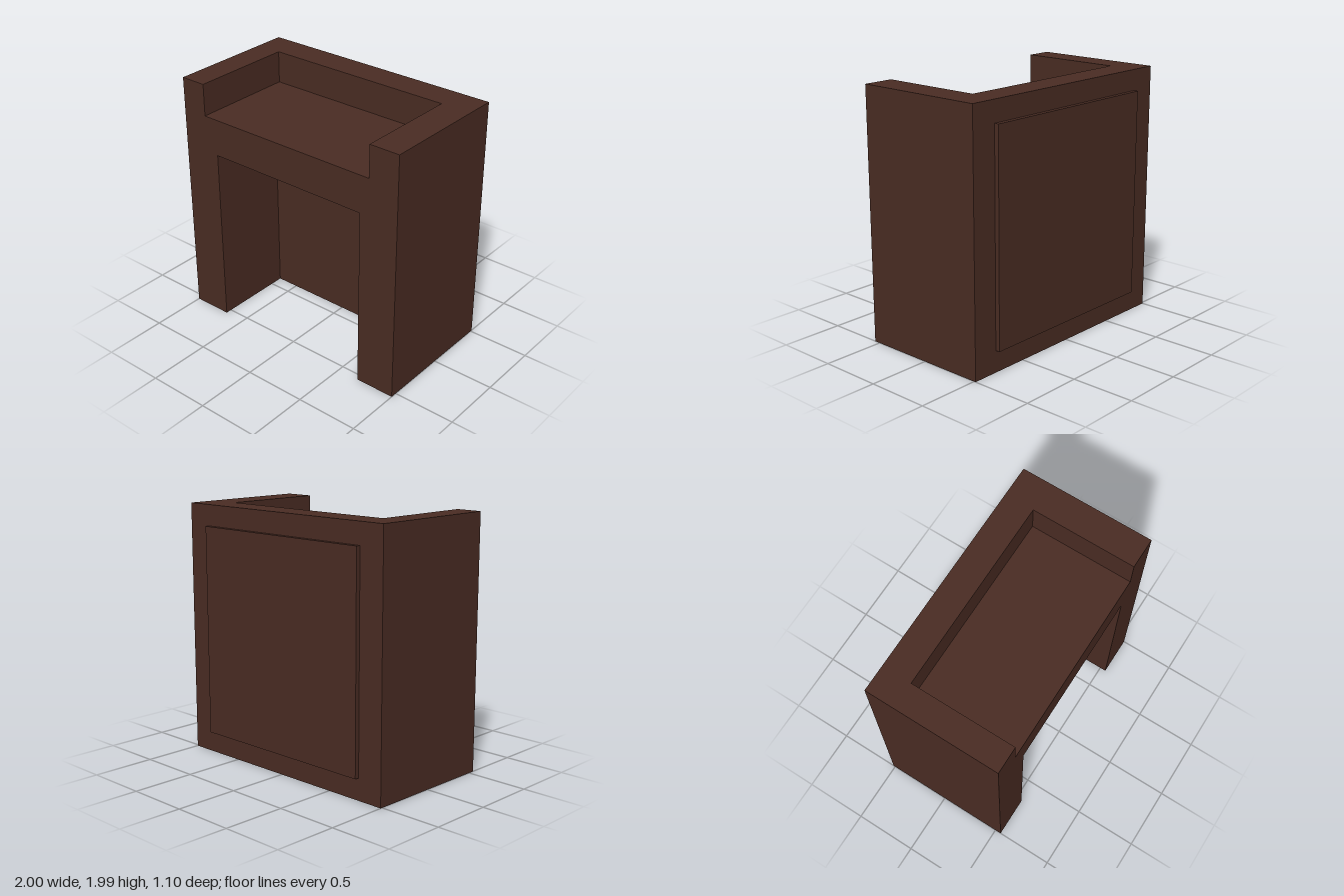
import * as THREE from 'three';

const W = 1, FRONT = 0.55, BACK = -0.515, TOP = 1.99;

export function createModel() {
  const model = new THREE.Group();
  model.name = 'desk';
  const wood = new THREE.MeshStandardMaterial({ color: 0x4a2c23 });
  wood.name = 'dark brown wood';

  const add = (name, geometry) => {
    const mesh = new THREE.Mesh(geometry, wood);
    mesh.name = name;
    model.add(mesh);
  };

  const box = (name, x0, x1, y0, y1, z0, z1) => add(name,
    new THREE.BoxGeometry(x1 - x0, y1 - y0, z1 - z0)
      .translate((x0 + x1) / 2, (y0 + y1) / 2, (z0 + z1) / 2));

  // U-shaped plan open to the front, raised from y0 to y1
  const surround = (name, left, right, inner, y0, y1) => {
    const plan = new THREE.Shape([
      [-W, FRONT], [left, FRONT], [left, inner], [right, inner],
      [right, FRONT], [W, FRONT], [W, BACK], [-W, BACK],
    ].map(([x, z]) => new THREE.Vector2(x, -z)));
    add(name, new THREE.ExtrudeGeometry(plan, { depth: y1 - y0, bevelEnabled: false })
      .rotateX(-Math.PI / 2).translate(0, y0, 0));
  };

  // Legs and back around the knee recess
  surround('lowerBody', -0.68, 0.68, -0.105, 0, 1.44);
  // Solid slab carrying the work surface
  box('worktop', -W, W, 1.44, 1.735, BACK, FRONT);
  // Raised rim around the work surface
  surround('upperRim', -0.79, 0.755, -0.28, 1.735, TOP);
  // Shallow raised panel on the back
  box('backPanel', -0.79, 0.79, 0.17, 1.825, -0.55, BACK);

  return model;
}
